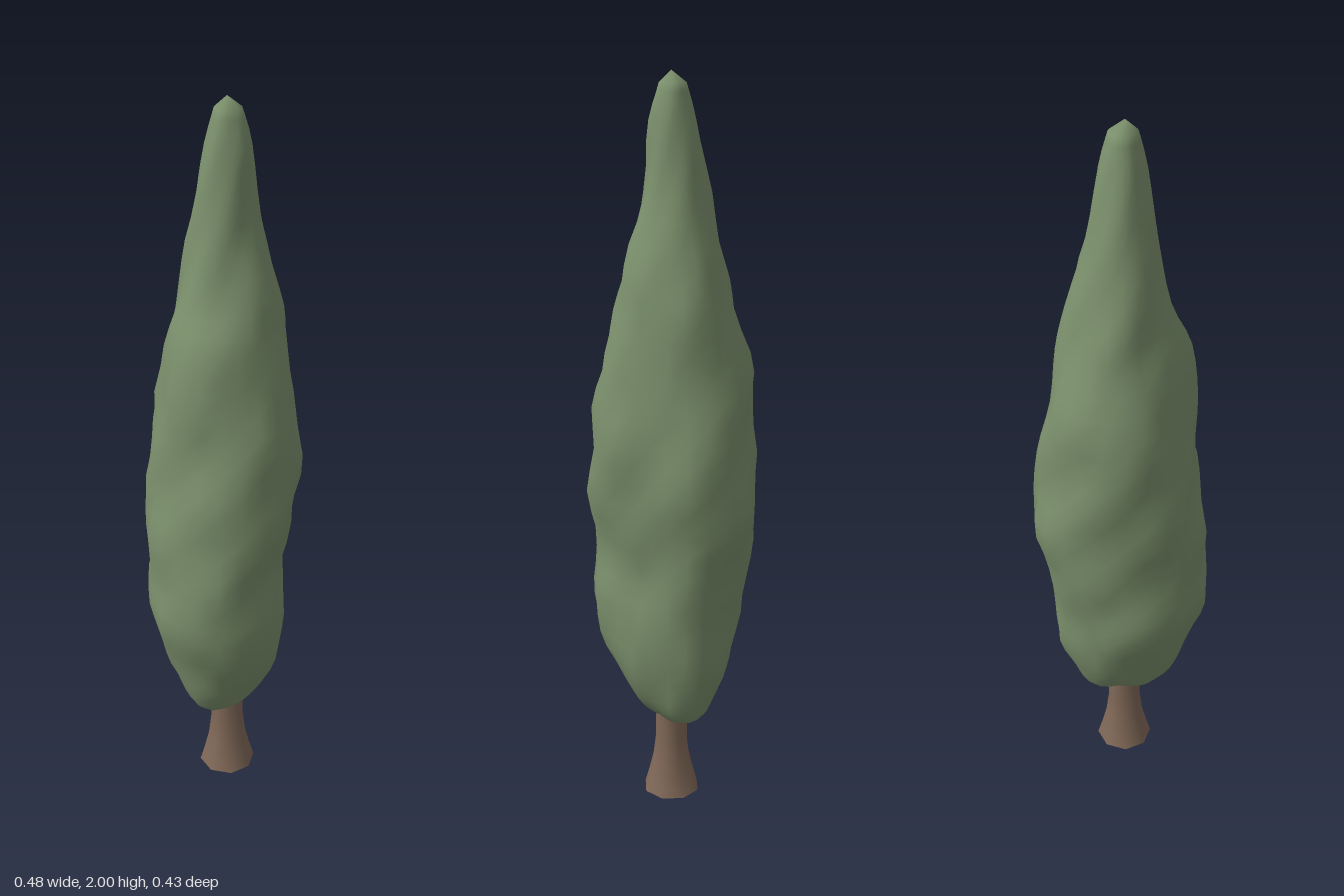
import * as THREE from 'three';
import { mergeVertices } from 'three/addons/utils/BufferGeometryUtils.js';

const foliage = new THREE.MeshStandardMaterial({ color: 0x7b906c });
foliage.name = 'foliage green';
const bark = new THREE.MeshStandardMaterial({ color: 0x806857 });
bark.name = 'bark brown';

// Crown sections: height, then radii every 45 degrees from +x towards +z
const SECTIONS = [
  [0.23, 0.03, 0.03, 0.02, 0.03, 0.04, 0.03, 0.02, 0.03],
  [0.26, 0.11, 0.07, 0.065, 0.09, 0.125, 0.09, 0.06, 0.09],
  [0.32, 0.145, 0.11, 0.11, 0.13, 0.165, 0.13, 0.115, 0.125],
  [0.44, 0.18, 0.145, 0.155, 0.195, 0.2, 0.18, 0.165, 0.165],
  [0.58, 0.19, 0.155, 0.165, 0.235, 0.24, 0.225, 0.212, 0.175],
  [0.72, 0.205, 0.15, 0.155, 0.225, 0.238, 0.22, 0.203, 0.212],
  [0.9, 0.235, 0.175, 0.195, 0.235, 0.22, 0.228, 0.205, 0.23],
  [1.08, 0.222, 0.178, 0.208, 0.218, 0.197, 0.205, 0.22, 0.207],
  [1.24, 0.182, 0.16, 0.185, 0.187, 0.2, 0.18, 0.205, 0.21],
  [1.4, 0.165, 0.145, 0.148, 0.16, 0.18, 0.155, 0.157, 0.16],
  [1.52, 0.138, 0.12, 0.13, 0.115, 0.125, 0.12, 0.142, 0.125],
  [1.7, 0.085, 0.078, 0.07, 0.08, 0.09, 0.092, 0.1, 0.09],
  [1.88, 0.053, 0.055, 0.058, 0.06, 0.064, 0.06, 0.062, 0.055],
  [1.97, 0.03, 0.03, 0.033, 0.037, 0.042, 0.037, 0.037, 0.03],
];

// Smooth curve through the values given by at(k), read at t
function smooth(at, t) {
  const i = Math.floor(t), f = t - i;
  const [a, b, c, d] = [at(i - 1), at(i), at(i + 1), at(i + 2)];
  return b + 0.5 * f * (c - a + f * (2 * a - 5 * b + 4 * c - d + f * (3 * (b - c) + d - a)));
}

// One section column at a fractional row
function column(col, t) {
  return smooth((k) => SECTIONS[THREE.MathUtils.clamp(k, 0, SECTIONS.length - 1)][col], t);
}

// Lumpy cross-sections stacked from the base to the tip
function crownGeometry() {
  const sides = 24, steps = 3, rows = steps * (SECTIONS.length - 1);
  const pos = [-0.01, 0.225, 0], index = [];
  for (let r = 0; r <= rows; r++) {
    const t = r / steps, y = column(0, t);
    const radii = [1, 2, 3, 4, 5, 6, 7, 8].map((col) => column(col, t));
    for (let s = 0; s < sides; s++) {
      const a = (s / sides) * Math.PI * 2;
      // small lumps between the eight main directions
      const lump = 1 + Math.sin(4 * a) ** 2 * (
        0.035 * Math.sin(5 * a + 19 * y) + 0.03 * Math.sin(3 * a - 27 * y + 1));
      const radius = smooth((k) => radii[(k + 8) % 8], (s / sides) * 8) * lump;
      pos.push(Math.cos(a) * radius, y, Math.sin(a) * radius);
    }
  }
  pos.push(-0.01, 2, 0);
  const tip = pos.length / 3 - 1, last = 1 + rows * sides;
  for (let s = 0; s < sides; s++) {
    const q = (s + 1) % sides;
    index.push(0, 1 + s, 1 + q, last + s, tip, last + q);
    for (let r = 0; r < rows; r++) {
      const a = 1 + r * sides + s, b = 1 + r * sides + q;
      index.push(a, a + sides, b, b, a + sides, b + sides);
    }
  }
  const geo = new THREE.BufferGeometry();
  geo.setAttribute('position', new THREE.Float32BufferAttribute(pos, 3));
  geo.setIndex(index);
  geo.computeVertexNormals();
  return geo;
}

// Flared trunk, smooth around its sides
function trunkGeometry() {
  const profile = [[0.08, 0], [0.066, 0.05], [0.054, 0.1], [0.047, 0.16], [0.045, 0.32]];
  const lathe = new THREE.LatheGeometry(profile.map((p) => new THREE.Vector2(...p)), 8);
  lathe.deleteAttribute('uv');
  lathe.deleteAttribute('normal');
  const geo = mergeVertices(lathe);
  geo.computeVertexNormals();
  return geo;
}

export function createModel() {
  const tree = new THREE.Group();
  tree.name = 'cypressTree';
  const add = (name, geo, mat) => {
    const mesh = new THREE.Mesh(geo, mat);
    mesh.name = name;
    tree.add(mesh);
    return mesh;
  };
  add('crown', crownGeometry(), foliage);
  add('trunk', trunkGeometry(), bark).position.x = -0.01;
  // flat underside of the trunk
  const base = add('trunkBase', new THREE.CircleGeometry(0.08, 8), bark);
  base.rotation.x = Math.PI / 2;
  base.position.x = -0.01;
  return tree;
}
